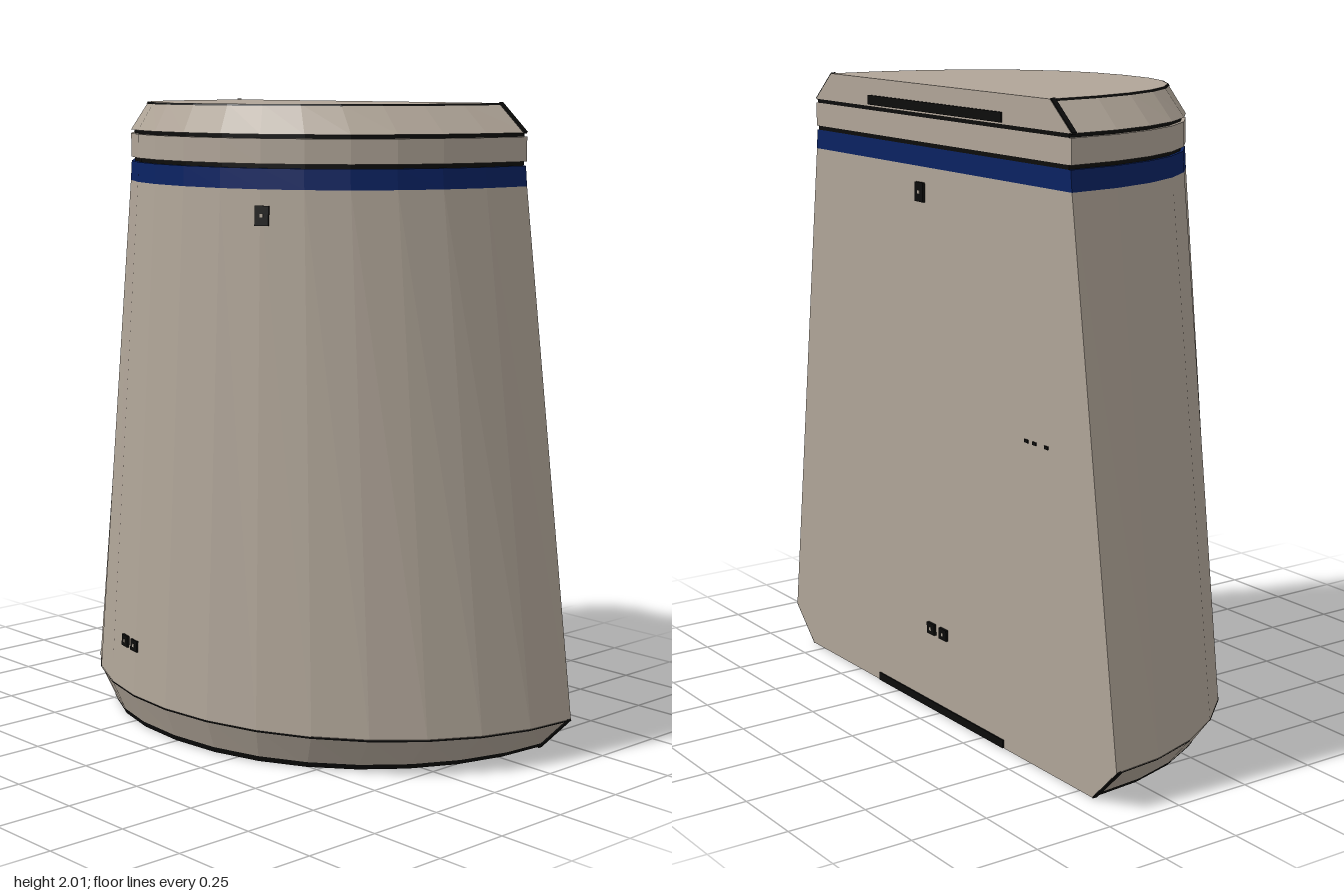
import * as THREE from 'three';

const BACK = -0.425, SEGS = 16;
const mat = (name, color, extra = {}) => {
  const m = new THREE.MeshStandardMaterial({ color, flatShading: true, ...extra });
  m.name = name;
  return m;
};

// Half-oval outline: half width a, depth b, squareness n, at height y
function section({ y, a, b, n }) {
  const pts = [];
  for (let i = 0; i <= SEGS; i++) {
    const t = (i / SEGS) * Math.PI;
    const c = i === SEGS / 2 ? 0 : Math.cos(t), s = i % SEGS ? Math.sin(t) : 0;
    pts.push([Math.sign(c) * a * Math.abs(c) ** (2 / n), y, BACK + b * s ** (2 / n)]);
  }
  return pts;
}

// Loft between two outlines; wallOnly leaves out the flat back and the caps
function loft(low, high, wallOnly = false) {
  const p = section(low), q = section(high), v = [];
  const tri = (...c) => c.forEach((k) => v.push(...k));
  const count = wallOnly ? SEGS : SEGS + 1;
  for (let i = 0; i < count; i++) {
    const j = (i + 1) % (SEGS + 1);
    tri(p[i], q[i], q[j]);
    tri(p[i], q[j], p[j]);
    if (!wallOnly && i > 0 && i < SEGS) {
      tri(q[0], q[j], q[i]);
      tri(p[0], p[i], p[j]);
    }
  }
  const g = new THREE.BufferGeometry();
  g.setAttribute('position', new THREE.Float32BufferAttribute(v, 3));
  g.computeVertexNormals();
  return g;
}

// Outline at height y between two others, optionally grown outward
function between(s, e, y, grow = 0) {
  const k = (y - s.y) / (e.y - s.y), f = THREE.MathUtils.lerp;
  return { y, a: f(s.a, e.a, k) + grow, b: f(s.b, e.b, k) + grow, n: f(s.n, e.n, k) };
}

export function createModel() {
  const model = new THREE.Group();
  model.name = 'halfRoundModule';
  const grey = mat('warm grey', 0xb0a598);
  const blue = mat('navy blue', 0x0a2262);
  const black = mat('black', 0x0c0c0b, { side: THREE.DoubleSide });

  const add = (name, geometry, material, x = 0, y = 0, z = 0) => {
    const m = new THREE.Mesh(geometry, material);
    m.name = name;
    m.position.set(x, y, z);
    model.add(m);
    return m;
  };

  // Key outlines from the foot to the roof
  const foot = { y: 0, a: 0.815, b: 0.815, n: 2.1 };
  const hip = { y: 0.115, a: 0.932, b: 0.86, n: 2 };
  const bandLow = { y: 1.75, a: 0.71, b: 0.772, n: 2.15 };
  const bandTop = { y: 1.812, a: 0.704, b: 0.77, n: 2.15 };
  const collar = { y: 1.825, a: 0.707, b: 0.77, n: 2.15 };
  const collarTop = { ...collar, y: 1.9 };
  const lidLow = { ...collar, y: 1.912 };
  const lidTop = { y: 2, a: 0.605, b: 0.727, n: 2.25 };

  // Hull
  add('lowerChamfer', loft(foot, hip), grey);
  add('body', loft(hip, bandLow), grey);
  add('blueBand', loft(bandLow, bandTop), blue);
  add('collar', loft(collar, collarTop), grey);
  add('lid', loft(lidLow, lidTop), grey);

  // Recessed joints
  [[bandTop, collar], [collarTop, lidLow]].forEach(([s, e]) => {
    const inset = { a: 0.695, b: 0.76 };
    add('joint', loft({ ...s, ...inset }, { ...e, ...inset }), black);
  });

  // Dark edge trims on the curved wall
  const trim = (name, s, e, y0, y1) =>
    add(name, loft(between(s, e, y0, 0.002), between(s, e, y1, 0.002), true), black);
  trim('footTrim', foot, hip, 0, 0.018);
  trim('hipSeam', foot, hip, 0.107, 0.114);
  trim('roofTrim', lidLow, lidTop, 1.994, 2);

  // Dark strips along the back ends of both chamfers
  for (const side of [-1, 1]) {
    for (const [s, e] of [[foot, hip], [lidLow, lidTop]]) {
      const dx = e.a - s.a, dy = e.y - s.y;
      const strip = add('chamferEndStrip',
        new THREE.BoxGeometry(Math.hypot(dx, dy), 0.008, 0.016), black,
        side * (s.a + e.a) / 2, (s.y + e.y) / 2, BACK + 0.009);
      strip.rotation.z = side * Math.atan2(dy, dx);
    }
  }

  // Long slots on the flat back
  add('lowerBackSlot', new THREE.BoxGeometry(0.73, 0.026, 0.006), black, 0, 0.014, BACK - 0.002);
  add('upperBackSlot', new THREE.BoxGeometry(0.74, 0.03, 0.006), black, 0, 1.932, BACK - 0.002);

  // Small sockets: dark plate with a light centre, facing local +z
  function socket(name, w, h) {
    const g = new THREE.Group();
    g.name = name;
    const plate = new THREE.Mesh(new THREE.BoxGeometry(w, h, 0.009), black);
    plate.name = 'socketPlate';
    const centre = new THREE.Mesh(new THREE.BoxGeometry(0.01, 0.01, 0.004), grey);
    centre.name = 'socketCentre';
    centre.position.z = 0.004;
    g.add(plate, centre);
    model.add(g);
    return g;
  }
  const sockets = [
    // front x, back x, y, width, height
    [0.3, 0.07, 1.672, 0.045, 0.06],
    [-0.25, 0.035, 0.275, 0.042, 0.036],
    [-0.185, -0.035, 0.275, 0.042, 0.036],
  ];
  for (const [xf, xb, y, w, h] of sockets) {
    const { a, b, n } = between(hip, bandLow, y);
    const u = Math.abs(xf) / a;
    const d = (1 - u ** n) ** (1 / n);
    const front = socket('frontSocket', w, h);
    front.position.set(xf, y, BACK + b * d);
    front.rotation.order = 'YXZ';
    front.rotation.y = Math.atan2(Math.sign(xf) * u ** (n - 1) / a, d ** (n - 1) / b);
    front.rotation.x = -0.055;
    const back = socket('backSocket', w, h);
    back.position.set(xb, y, BACK - 0.005);
    back.rotation.y = Math.PI;
  }

  // Tiny pins on the back
  for (const x of [-0.49, -0.53, -0.59]) {
    add('backPin', new THREE.BoxGeometry(0.018, 0.01, 0.004), black, x, 1.0, BACK - 0.001);
  }
  return model;
}
